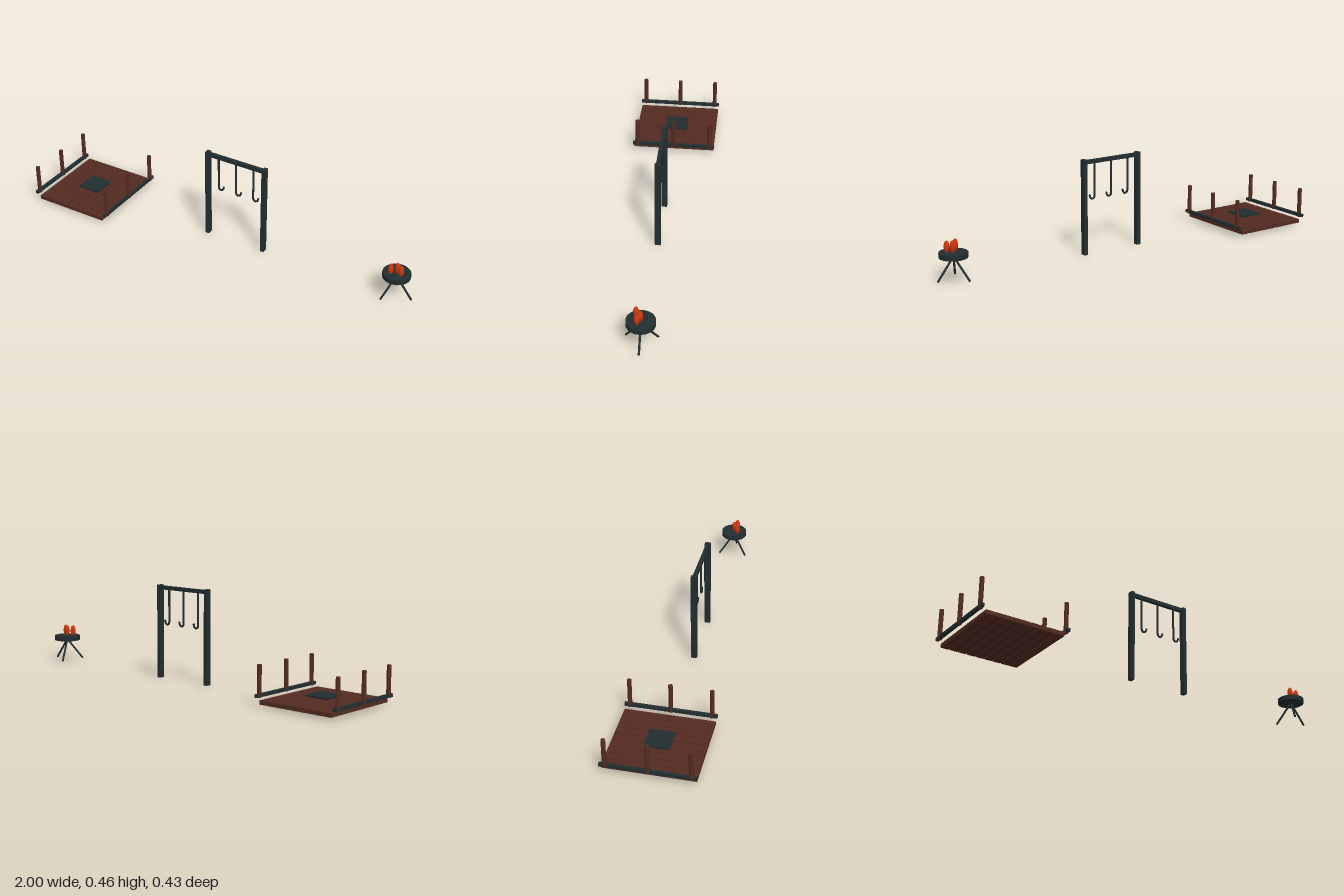
import * as THREE from 'three';

const slate = new THREE.MeshStandardMaterial({ color: 0x222e30 });
slate.name = 'darkIron';
const wood = new THREE.MeshStandardMaterial({ color: 0x542c22 });
wood.name = 'brownWood';
const fire = new THREE.MeshStandardMaterial({ color: 0xd03810 });
fire.name = 'flameOrange';

function add(parent, name, geometry, material, x = 0, y = 0, z = 0) {
  const mesh = new THREE.Mesh(geometry, material);
  mesh.name = name;
  mesh.position.set(x, y, z);
  parent.add(mesh);
  return mesh;
}

function group(parent, name, x) {
  const g = new THREE.Group();
  g.name = name;
  g.position.x = x;
  parent.add(g);
  return g;
}

// Round bar between two points
function rod(parent, name, from, to, radius, material) {
  const dir = to.clone().sub(from);
  const mid = from.clone().add(to).multiplyScalar(0.5);
  const mesh = add(parent, name, new THREE.CylinderGeometry(radius, radius, dir.length(), 8), material, mid.x, mid.y, mid.z);
  mesh.quaternion.setFromUnitVectors(new THREE.Vector3(0, 1, 0), dir.normalize());
}

function buildDeck(root) {
  const deck = group(root, 'deck', -0.78);
  // Nine planks with narrow gaps
  for (let i = 0; i < 9; i++) {
    add(deck, 'plank', new THREE.BoxGeometry(0.039, 0.019, 0.422), wood, (i - 4) * 0.0434, 0.0215, 0);
  }
  add(deck, 'hatchPlate', new THREE.BoxGeometry(0.115, 0.009, 0.115), slate, 0, 0.048, 0);
  // Side rails, each with three upright posts
  for (const side of [-1, 1]) {
    const x = side * 0.211;
    add(deck, 'rail', new THREE.BoxGeometry(0.015, 0.015, 0.43), slate, x, 0.047, 0);
    for (const z of [-0.19, 0, 0.19]) {
      add(deck, 'railPost', new THREE.CylinderGeometry(0.0105, 0.0105, 0.148, 10), wood, x, 0.112, z);
    }
  }
}

function buildHookRack(root) {
  const rack = group(root, 'hookRack', 0.064);
  for (const side of [-1, 1]) {
    add(rack, 'rackPost', new THREE.BoxGeometry(0.019, 0.462, 0.028), slate, side * 0.154, 0.231, 0);
  }
  add(rack, 'crossbar', new THREE.BoxGeometry(0.308, 0.018, 0.018), slate, 0, 0.449, 0);
  // Straight shank bending into an upturned tip
  const path = new THREE.CurvePath();
  const v = (x, y) => new THREE.Vector3(x, y, 0);
  path.add(new THREE.LineCurve3(v(0, 0.445), v(0, 0.285)));
  path.add(new THREE.CubicBezierCurve3(v(0, 0.285), v(0, 0.262), v(0.025, 0.262), v(0.028, 0.287)));
  const hook = new THREE.TubeGeometry(path, 36, 0.005, 8);
  for (const x of [-0.095, 0, 0.095]) {
    add(rack, 'hook', hook, slate, x);
    add(rack, 'hookTip', new THREE.SphereGeometry(0.005, 8, 6), slate, x + 0.028, 0.287, 0);
  }
}

function buildBrazier(root) {
  const brazier = group(root, 'brazier', 0.912);
  add(brazier, 'fireBowl', new THREE.CylinderGeometry(0.066, 0.066, 0.024, 16), slate, 0, 0.125, 0);
  // Splayed tripod
  for (let i = 0; i < 3; i++) {
    const a = (i * Math.PI * 2) / 3;
    const foot = new THREE.Vector3(Math.cos(a) * 0.082, 0.011, Math.sin(a) * 0.082);
    rod(brazier, 'tripodLeg', new THREE.Vector3(0, 0.117, 0), foot, 0.005, slate);
  }
  // Tall rounded flames
  const flame = new THREE.SphereGeometry(0.0135, 8, 6);
  for (const [x, z] of [[-0.022, 0.022], [0.002, 0.002], [0.025, 0.014]]) {
    add(brazier, 'flame', flame, fire, x, 0.161, z).scale.y = 2.2;
  }
}

export function createModel() {
  const root = new THREE.Group();
  root.name = 'campEquipment';
  buildDeck(root);
  buildHookRack(root);
  buildBrazier(root);
  return root;
}
